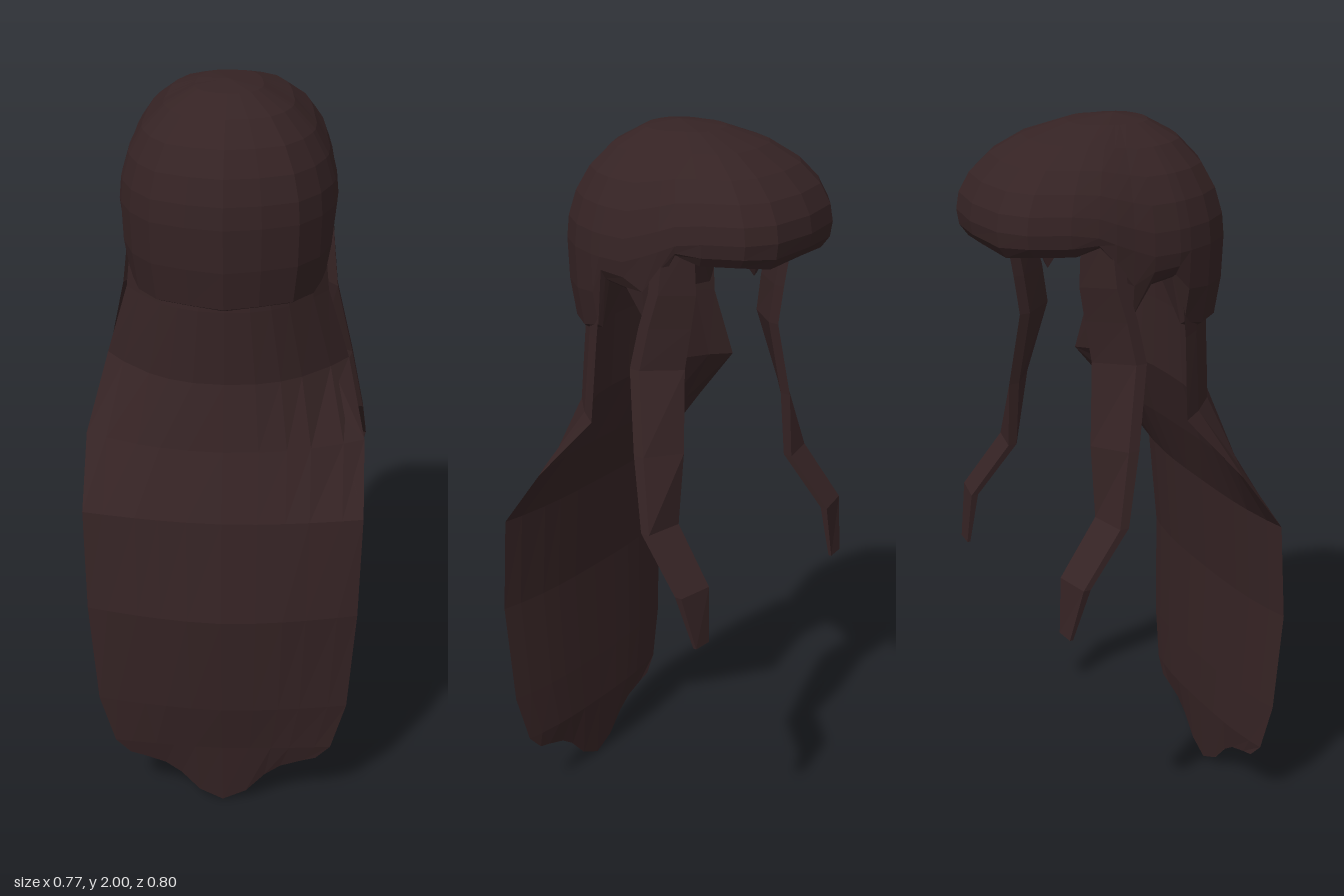
import * as THREE from 'three';

const hairMaterial = new THREE.MeshStandardMaterial({ color: 0x352324, flatShading: true, side: THREE.DoubleSide });
hairMaterial.name = 'dark brown hair';

// Piecewise linear lookup in rows of [key, value, value...]
function lookup(rows, key, column) {
  for (let i = 1; i < rows.length; i++) {
    const a = rows[i - 1], b = rows[i];
    if (key <= b[0]) {
      const t = Math.max(0, (key - a[0]) / (b[0] - a[0]));
      return a[column] + (b[column] - a[column]) * t;
    }
  }
  return rows[rows.length - 1][column];
}

// Skin closed rings of points, listed from top to bottom
function loft(name, rings) {
  const n = rings[0].length;
  const index = [];
  for (let i = 0; i < rings.length - 1; i++) {
    for (let j = 0; j < n; j++) {
      const k = (j + 1) % n;
      const a = i * n + j, b = i * n + k, c = a + n, d = b + n;
      index.push(a, c, b, b, c, d);
    }
  }
  const geometry = new THREE.BufferGeometry();
  geometry.setAttribute('position', new THREE.Float32BufferAttribute(rings.flat(2), 3));
  geometry.setIndex(index);
  const flat = geometry.toNonIndexed();
  flat.computeVertexNormals();
  const mesh = new THREE.Mesh(flat, hairMaterial);
  mesh.name = name;
  return mesh;
}

// Rounded crown: raised fringe, a pointed tuft by each temple and a low nape
function makeCrown() {
  // angle from the fringe, radius, height of widest point, height of rim, inner rim scale
  const outline = [
    [0, 0.4, 1.77, 1.7, 0.77], [18, 0.403, 1.77, 1.69, 0.77], [30, 0.385, 1.77, 1.7, 0.77],
    [45, 0.338, 1.77, 1.7, 0.78], [56, 0.31, 1.76, 1.72, 0.8], [64, 0.296, 1.74, 1.64, 0.84],
    [73, 0.284, 1.72, 1.54, 0.89], [84, 0.281, 1.7, 1.62, 0.88], [99, 0.28, 1.7, 1.63, 0.88],
    [106, 0.28, 1.7, 1.5, 0.88], [122, 0.283, 1.7, 1.48, 0.88], [140, 0.288, 1.7, 1.48, 0.86],
    [160, 0.275, 1.7, 1.48, 0.86], [180, 0.277, 1.7, 1.475, 0.86],
  ];
  const angles = [...outline.map((o) => o[0]), ...outline.slice(1, -1).reverse().map((o) => 360 - o[0])];
  const ring = (shape) => angles.map((angle) => {
    const key = angle > 180 ? 360 - angle : angle;
    const [r, y] = shape(...[1, 2, 3, 4].map((c) => lookup(outline, key, c)));
    const a = THREE.MathUtils.degToRad(angle);
    return [-Math.sin(a) * r, y, -Math.cos(a) * r];
  });
  const rings = [];
  for (const degrees of [0, 18, 36, 52, 66, 79, 90]) {
    const p = THREE.MathUtils.degToRad(degrees);
    rings.push(ring((r, mid) => [r * Math.sin(p), mid + (2 - mid) * Math.cos(p)]));
  }
  rings.push(ring((r, mid, rim) => [r * 0.985, (mid + rim) / 2]));
  rings.push(ring((r, mid, rim) => [r * 0.93, rim + 0.01]));
  // rolled rim and conical hollow
  rings.push(ring((r, mid, rim, inner) => [r * inner, rim]));
  rings.push(ring(() => [0, 1.87]));
  return loft('crown', rings);
}

// Long mane: a thick curved sheet ending in a scalloped point
function makeMane() {
  // height, half width, z of outer middle, z of side edges, z of inner middle, outer roundness
  const rows = [
    [1.7, 0.24, 0.22, 0.06, 0.15, 2.4], [1.47, 0.262, 0.238, 0.07, 0.165, 2.4],
    [1.27, 0.32, 0.236, 0.045, 0.17, 2.4], [1.1, 0.365, 0.285, 0.19, 0.22, 2],
    [0.93, 0.367, 0.36, 0.315, 0.285, 1.7], [0.65, 0.36, 0.4, 0.34, 0.305, 1.6],
    [0.35, 0.34, 0.372, 0.33, 0.297, 1.6], [0.2, 0.3, 0.342, 0.32, 0.295, 1.6],
    [0, 0.26, 0.316, 0.314, 0.312, 1.6],
  ];
  const hem = [[0, 0], [0.07, 0.035], [0.12, 0.095], [0.17, 0.13], [0.26, 0.155]];
  const across = [-1, -0.85, -0.62, -0.45, -0.25, 0, 0.25, 0.45, 0.62, 0.85, 1];
  const rings = rows.map(([y, w, outer, edge, inner, roundness], i) => {
    const point = (u, middle, power) => {
      const x = u * w;
      const height = i === rows.length - 1 ? lookup(hem, Math.abs(x), 1) : y;
      return [x, height, edge + (middle - edge) * (1 - Math.abs(u) ** power)];
    };
    return [
      ...across.map((u) => point(u, outer, roundness)),
      ...across.slice(1, -1).reverse().map((u) => point(u, inner, 3)),
    ];
  });
  return loft('mane', rings);
}

// Thin side lock, its flat section slanting from the inner back to the outer front
function makeSideLock(name, side) {
  // height, x, half width, z of outer front edge, z of inner back edge, thickness
  const rows = [
    [1.78, 0.235, 0.02, -0.11, -0.2, 0.03], [1.63, 0.24, 0.028, -0.1, -0.205, 0.03],
    [1.54, 0.243, 0.032, -0.075, -0.19, 0.03], [1.43, 0.25, 0.036, -0.055, -0.173, 0.03],
    [1.22, 0.29, 0.042, -0.1, -0.195, 0.03], [1.03, 0.318, 0.05, -0.148, -0.193, 0.025],
    [0.89, 0.335, 0.048, -0.265, -0.303, 0.02], [0.74, 0.328, 0.026, -0.302, -0.315, 0.009],
  ];
  const rings = rows.map(([y, x, h, front, back, t]) => {
    const ring = [
      [side * (x - h), y, back + t], [side * (x + h), y, front],
      [side * (x + h), y, front - t], [side * (x - h), y, back],
    ];
    return side > 0 ? ring : ring.reverse();
  });
  // close the tip
  const [y, x, , front, back] = rows[rows.length - 1];
  rings.push(Array.from({ length: 4 }, () => [side * x, y, (front + back) / 2]));
  return loft(name, rings);
}

export function createModel() {
  const group = new THREE.Group();
  group.name = 'longHair';
  group.add(makeCrown(), makeMane(), makeSideLock('leftSideLock', 1), makeSideLock('rightSideLock', -1));
  return group;
}
